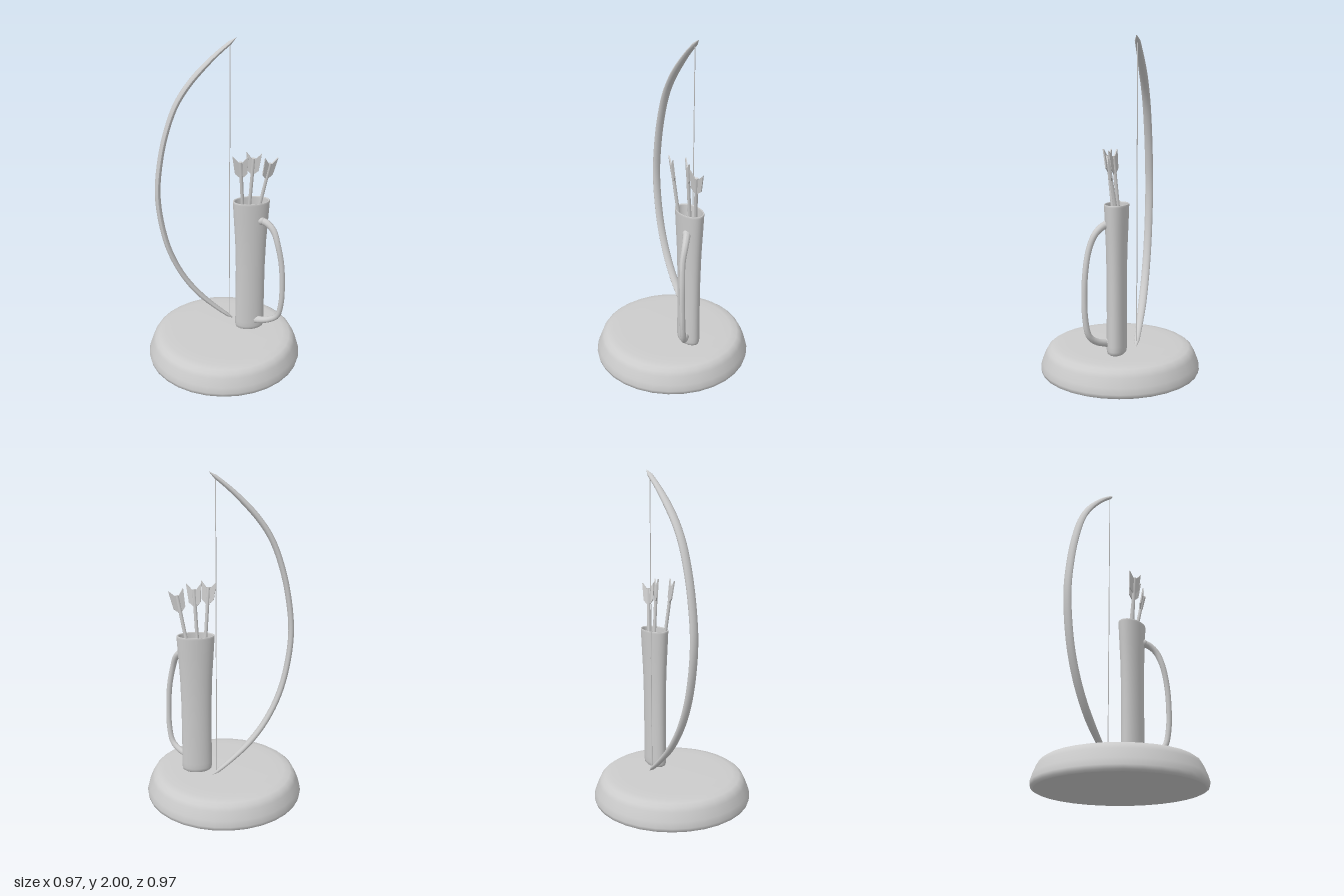
import * as THREE from 'three';

const material = new THREE.MeshStandardMaterial({ color: 0xcccccc });
const thin = new THREE.MeshStandardMaterial({ color: 0xcccccc, side: THREE.DoubleSide });
const v3 = (x, y, z) => new THREE.Vector3(x, y, z);

function add(parent, name, geometry, mat = material) {
  const mesh = new THREE.Mesh(geometry, mat);
  mesh.name = name;
  parent.add(mesh);
  return mesh;
}

function lathe(points, segments) {
  return new THREE.LatheGeometry(points.map(([x, y]) => new THREE.Vector2(x, y)), segments);
}

// Tube whose rings shrink by taper(t) towards its path
function taperedTube(curve, rings, radius, sides, taper) {
  const geometry = new THREE.TubeGeometry(curve, rings, radius, sides);
  const pos = geometry.attributes.position;
  const p = v3(0, 0, 0);
  for (let i = 0; i < pos.count; i++) {
    const t = Math.floor(i / (sides + 1)) / rings;
    const centre = curve.getPointAt(t);
    p.fromBufferAttribute(pos, i).sub(centre).multiplyScalar(taper(t)).add(centre);
    pos.setXYZ(i, p.x, p.y, p.z);
  }
  geometry.computeVertexNormals();
  return geometry;
}

// Straight rod between two points
function rod(a, b, radius, sides) {
  const geometry = new THREE.CylinderGeometry(radius, radius, a.distanceTo(b), sides);
  const turn = new THREE.Quaternion().setFromUnitVectors(v3(0, 1, 0), b.clone().sub(a).normalize());
  geometry.applyQuaternion(turn);
  const mid = a.clone().add(b).multiplyScalar(0.5);
  return geometry.translate(mid.x, mid.y, mid.z);
}

// Arrow with its nock end up; spin turns the pair of vanes about the shaft
function makeArrow(foot, nock, spin) {
  const arrow = new THREE.Group();
  arrow.name = 'arrow';
  const length = foot.distanceTo(nock);
  add(arrow, 'arrowShaft', new THREE.CylinderGeometry(0.0105, 0.0105, length, 8).translate(0, length / 2, 0));
  const outline = [[0, -0.11], [0.036, -0.075], [0.046, 0.035], [0.01, -0.005], [0, -0.005]];
  for (const side of [1, -1]) {
    const shape = new THREE.Shape(outline.map(([x, y]) => new THREE.Vector2(x * side, y)));
    const vane = new THREE.ExtrudeGeometry(shape, { depth: 0.008, bevelEnabled: false });
    add(arrow, 'fletching', vane.translate(0, length, -0.004).rotateY(spin));
  }
  arrow.position.copy(foot);
  arrow.quaternion.setFromUnitVectors(v3(0, 1, 0), nock.clone().sub(foot).normalize());
  return arrow;
}

export function createModel() {
  const model = new THREE.Group();
  model.name = 'bowAndQuiverStand';

  // Round base with a softened upper edge
  add(model, 'base', lathe([
    [0, 0], [0.465, 0], [0.465, 0], [0.48, 0.008], [0.485, 0.03], [0.475, 0.065], [0.455, 0.115],
    [0.442, 0.138], [0.42, 0.154], [0.38, 0.162], [0.3, 0.165], [0, 0.165],
  ], 32));

  // Bow limb: a flattened tube pointed at both tips
  const bowPath = new THREE.CatmullRomCurve3([
    [0.09, 1.995], [-0.04, 1.89], [-0.18, 1.745], [-0.262, 1.62], [-0.325, 1.45], [-0.363, 1.28],
    [-0.383, 1.09], [-0.368, 0.9], [-0.325, 0.71], [-0.252, 0.54], [-0.155, 0.395], [-0.03, 0.265], [0.08, 0.17],
  ].map(([x, y]) => v3(x, y, 0)));
  const limb = taperedTube(bowPath, 48, 0.017, 12, (t) => {
    const end = Math.min(t, 1 - t);
    return end < 0.02 ? 0.05 + 30 * end : Math.min(1, 0.65 + 3 * (end - 0.02));
  });
  add(model, 'bowLimb', limb.scale(1, 1, 1.5)).position.z = -0.113;
  add(model, 'bowString', rod(v3(0.055, 0.185, -0.113), v3(0.055, 1.965, -0.113), 0.003, 6));

  // Oval quiver: outer wall, rim, inner wall and floor
  const quiver = new THREE.Group();
  quiver.name = 'quiver';
  quiver.position.set(0.17, 0, -0.016);
  model.add(quiver);
  add(quiver, 'quiverBody', lathe([
    [0, 0.163], [0.075, 0.163], [0.088, 0.172], [0.093, 0.19], [0.093, 0.22], [0.0915, 0.4], [0.092, 0.6],
    [0.097, 0.78], [0.106, 0.92], [0.113, 1.035], [0.113, 1.045], [0.11, 1.047],
    [0.104, 1.047], [0.102, 1.04], [0.095, 0.92], [0.085, 0.78], [0.08, 0.6], [0.08, 0.25], [0, 0.25],
  ], 32).scale(1, 1, 0.62), thin);

  // Strap bowing out from the front left of the quiver
  const strapPath = new THREE.CatmullRomCurve3([
    [0.21, 0.93, 0.025], [0.245, 0.925, 0.05], [0.285, 0.885, 0.085], [0.308, 0.8, 0.115], [0.33, 0.68, 0.13],
    [0.339, 0.54, 0.135], [0.338, 0.4, 0.13], [0.32, 0.3, 0.113], [0.28, 0.258, 0.08], [0.24, 0.24, 0.052], [0.2, 0.23, 0.025],
  ].map(([x, y, z]) => v3(x, y, z)));
  add(model, 'strap', taperedTube(strapPath, 40, 0.021, 12, (t) => 0.8 + 0.35 * Math.pow(Math.abs(2 * t - 1), 4)));
  for (const [x, y, z] of [[0.222, 0.931, 0.035], [0.218, 0.234, 0.035]]) {
    add(model, 'strapEnd', new THREE.SphereGeometry(0.025, 12, 8).translate(x, y, z));
  }

  // Three arrows leaning apart
  model.add(makeArrow(v3(0.13, 0.72, -0.01), v3(0.087, 1.32, 0.055), -0.3));
  model.add(makeArrow(v3(0.148, 0.76, -0.045), v3(0.175, 1.32, 0.003), -0.35));
  model.add(makeArrow(v3(0.188, 0.82, -0.045), v3(0.275, 1.285, 0.008), 0.35));

  return model;
}
